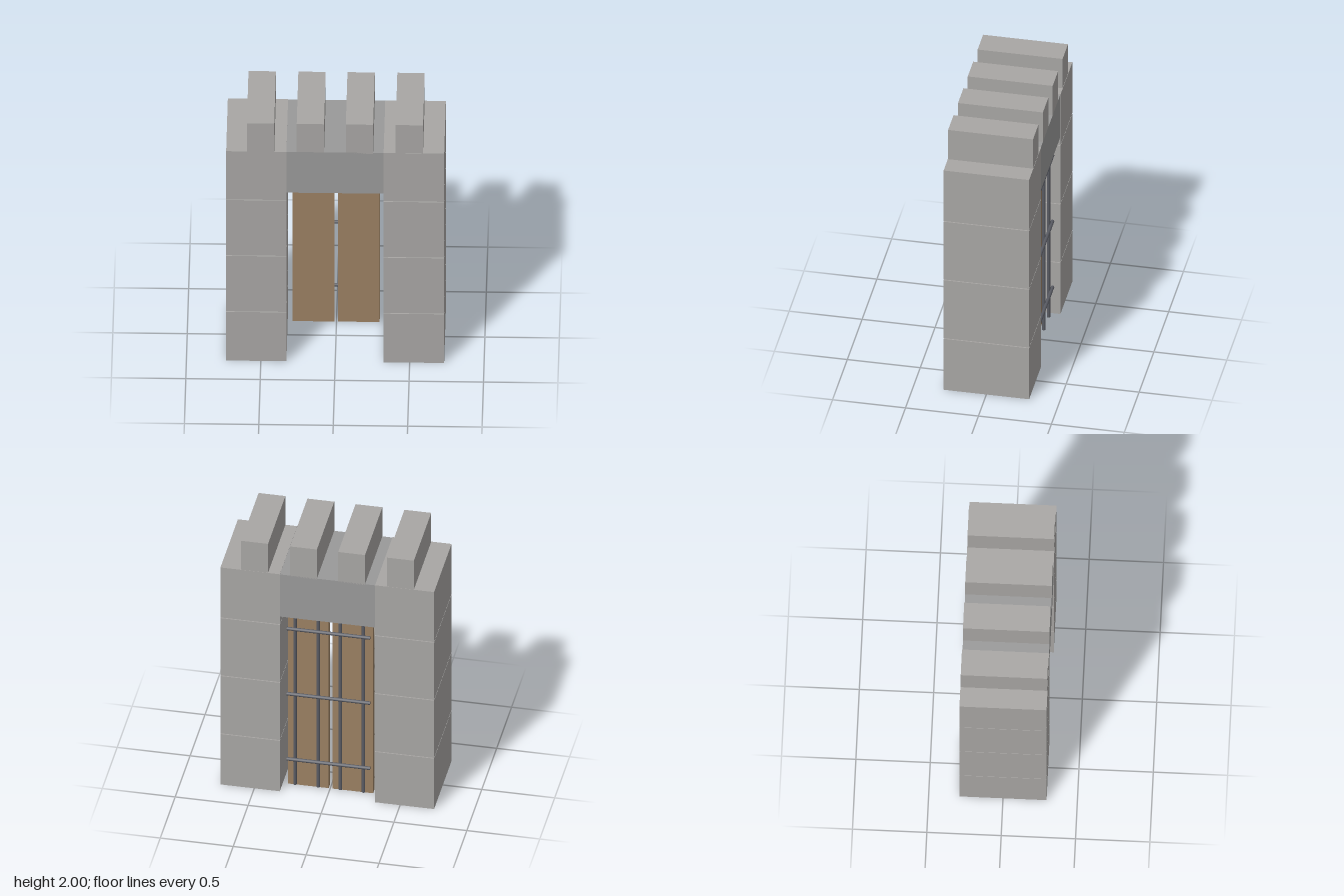
import * as THREE from 'three';

const stone = new THREE.MeshStandardMaterial({ color: 0xa8a6a4 });
const darkStone = new THREE.MeshStandardMaterial({ color: 0x999999 });
const wood = new THREE.MeshStandardMaterial({ color: 0x9a8062 });
const iron = new THREE.MeshStandardMaterial({ color: 0x5a5c64 });

// Box given by its minimum and maximum on each axis
function block(parent, name, material, [x0, x1], [y0, y1], [z0, z1]) {
  const mesh = new THREE.Mesh(new THREE.BoxGeometry(x1 - x0, y1 - y0, z1 - z0), material);
  mesh.position.set((x0 + x1) / 2, (y0 + y1) / 2, (z0 + z1) / 2);
  mesh.name = name;
  parent.add(mesh);
  return mesh;
}

function bar(parent, name, length, x, y, z, horizontal) {
  const mesh = new THREE.Mesh(new THREE.CylinderGeometry(0.012, 0.012, length, 12), iron);
  if (horizontal) mesh.rotation.z = Math.PI / 2;
  mesh.position.set(x, y, z);
  mesh.name = name;
  parent.add(mesh);
}

export function createModel() {
  const gate = new THREE.Group();
  gate.name = 'castleGate';

  // Two pillars of four stacked stones with thin joints
  const joints = [0, 0.413, 0.885, 1.356, 1.765];
  const gap = 0.003;
  for (const [name, span] of [['rightPillar', [-0.733, -0.328]], ['leftPillar', [0.325, 0.732]]]) {
    const pillar = new THREE.Group();
    pillar.name = name;
    for (let i = 0; i < 4; i++) {
      const y0 = joints[i] + (i > 0 ? gap : 0);
      const y1 = joints[i + 1] - (i < 3 ? gap : 0);
      block(pillar, 'pillarStone', stone, span, [y0, y1], [-0.293, 0.293]);
    }
    gate.add(pillar);
  }

  // Lintel, its ends set into the pillars
  block(gate, 'lintel', darkStone, [-0.6, 0.6], [1.42, 1.763], [-0.291, 0.291]);

  // Battlements
  for (const x of [-0.502, -0.167, 0.163, 0.498]) {
    block(gate, 'merlon', stone, [x - 0.092, x + 0.092], [1.755, 2], [-0.291, 0.291]);
  }

  // Pair of wooden doors
  block(gate, 'rightDoor', wood, [-0.295, -0.015], [0.003, 1.355], [-0.195, -0.15]);
  block(gate, 'leftDoor', wood, [0.01, 0.29], [0.003, 1.355], [-0.195, -0.15]);

  // Iron grille behind the doors
  const grille = new THREE.Group();
  grille.name = 'ironGrille';
  for (const x of [-0.236, -0.078, 0.074, 0.233]) bar(grille, 'uprightBar', 1.4, x, 0.73, -0.23, false);
  for (const y of [0.24, 0.77, 1.3]) bar(grille, 'crossBar', 0.57, 0, y, -0.248, true);
  gate.add(grille);

  return gate;
}
